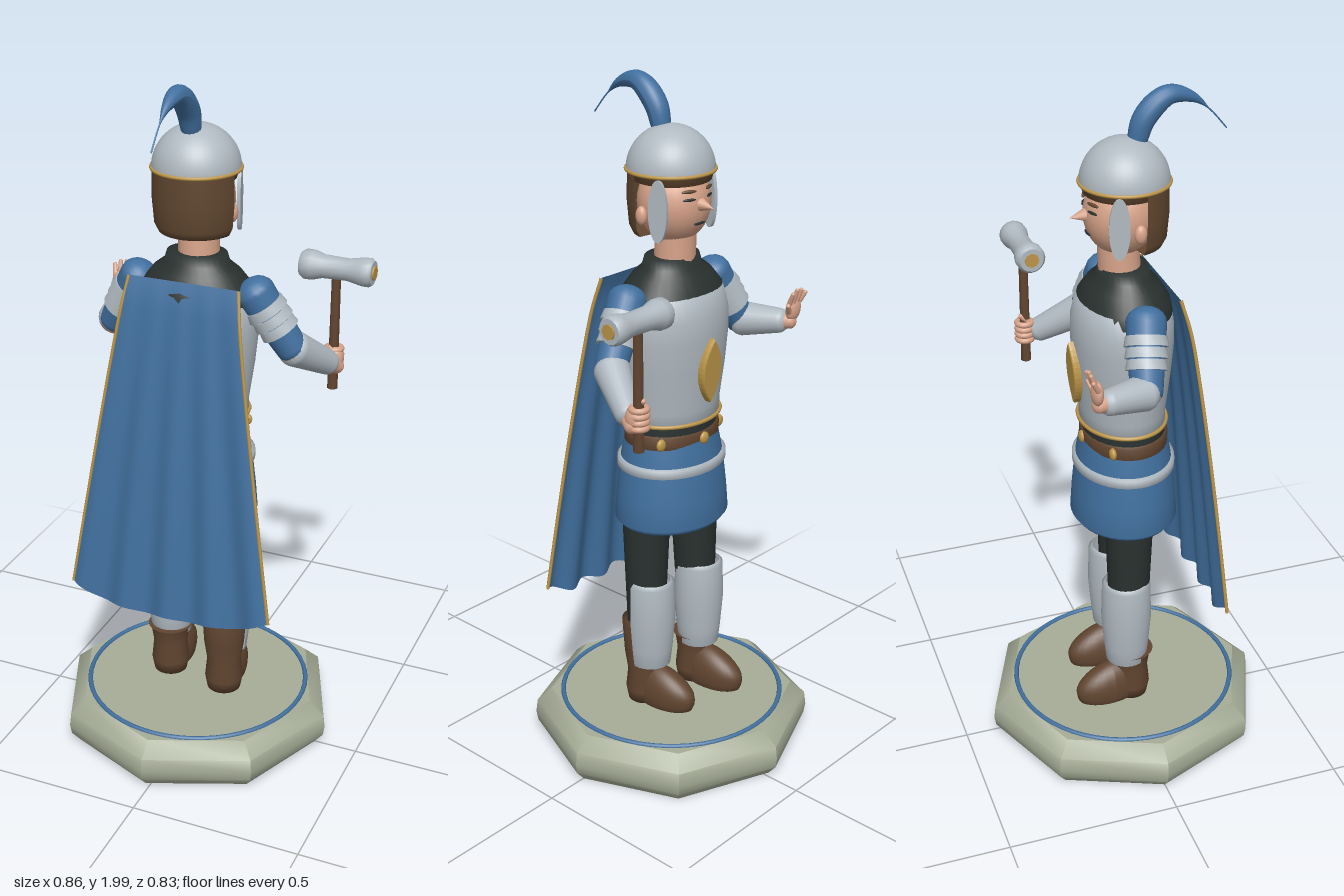
import * as THREE from 'three';
import { toCreasedNormals } from 'three/addons/utils/BufferGeometryUtils.js';

const CX = -0.015; // body axis
const V = (x, y, z) => new THREE.Vector3(x, y, z);
const mat = (name, color, side = THREE.FrontSide) => {
  const m = new THREE.MeshStandardMaterial({ color, side });
  m.name = name;
  return m;
};

export function createModel() {
  const model = new THREE.Group();
  const D = THREE.DoubleSide;
  const blue = mat('blue cloth', 0x41709f, D), steel = mat('steel', 0xb0bac1, D);
  const hairMat = mat('hair brown', 0x614730, D), leather = mat('leather', 0x614530);
  const skin = mat('skin', 0xd8a48a), gold = mat('gold', 0xbd9648);
  const dark = mat('dark cloth', 0x29312f), stone = mat('stone', 0xa6ad97);

  const add = (name, geo, material, x = 0, y = 0, z = 0, parent = model) => {
    const m = new THREE.Mesh(geo, material);
    m.name = name;
    m.position.set(x, y, z);
    parent.add(m);
    return m;
  };
  // Turned part from [radius, y] pairs, flattened in z
  const turned = (name, pts, material, x, z, sz = 1, seg = 32, start = 0, len = Math.PI * 2) => {
    const g = new THREE.LatheGeometry(pts.map(p => new THREE.Vector2(...p)), seg, start, len);
    const m = add(name, g, material, x, 0, z);
    m.scale.z = sz;
    return m;
  };
  const ball = (name, material, p, s, parent) => {
    const m = add(name, new THREE.SphereGeometry(1, 24, 16), material, ...p, parent);
    m.scale.set(...s);
    return m;
  };
  // Tapered limb between two points, with optional rounded ends
  const limb = (name, a, b, r0, r1, material, round = true, seg = 20) => {
    const dir = b.clone().sub(a), L = dir.length(), pts = [];
    const n = round ? 5 : 1;
    for (let i = 0; i <= n; i++) {
      const t = i / n * Math.PI / 2;
      pts.push(new THREE.Vector2(r0 * Math.sin(t), round ? -r0 * 0.8 * Math.cos(t) : 0));
    }
    for (let i = n; i >= 0; i--) {
      const t = i / n * Math.PI / 2;
      pts.push(new THREE.Vector2(r1 * Math.sin(t), L + (round ? r1 * 0.8 * Math.cos(t) : 0)));
    }
    const g = new THREE.LatheGeometry(pts, seg);
    const m = add(name, round ? g : toCreasedNormals(g, 0.7), material, a.x, a.y, a.z);
    m.quaternion.setFromUnitVectors(V(0, 1, 0), dir.normalize());
    return m;
  };
  const ring = (name, r, tube, material, y, z = 0, sz = 1) => {
    const g = new THREE.TorusGeometry(r, tube, 8, 56).rotateX(Math.PI / 2).scale(1, 1, sz);
    return add(name, g, material, CX, y, z);
  };

  // Octagonal plinth with inlaid ring
  const plinth = new THREE.LatheGeometry([[0, 0], [0.385, 0], [0.41, 0.03], [0.415, 0.06], [0.41, 0.1],
    [0.365, 0.14], [0, 0.14]].map(p => new THREE.Vector2(...p)), 8);
  add('plinth', toCreasedNormals(plinth, 0.7), stone, CX);
  ring('plinthRing', 0.33, 0.007, blue, 0.141);

  // Legs, boots and greaves
  for (const [x, z, toe, bootTop, full] of [[0.08, 0.015, 0.06, 0.41, false], [-0.11, -0.015, -0.12, 0.3, true]]) {
    limb('leg', V(x, 0.3, z), V(x * 0.9, 0.8, z + 0.005), 0.052, 0.072, dark);
    turned('bootShaft', [[0, 0.14], [0.05, 0.142], [0.057, 0.18], [0.051, 0.24], [0.06, 0.3],
      [0.067, bootTop], [0.045, bootTop]], leather, x, z + 0.006);
    const foot = new THREE.SphereGeometry(1, 24, 16);
    const p = foot.attributes.position;
    for (let i = 0; i < p.count; i++) {
      const front = (1 - p.getZ(i)) / 2; // lower towards the toe
      p.setY(i, p.getY(i) > 0 ? p.getY(i) * (1.25 - 0.55 * front) : Math.max(p.getY(i), -0.45));
    }
    foot.scale(0.053, 0.085, 0.108);
    foot.computeVertexNormals();
    const f = add('foot', foot, leather, (x + toe) / 2, 0.178, z - 0.06);
    f.rotation.y = x > 0 ? 0.12 : 0.1;
    const c = [[0.05, 0.27], [0.06, 0.275], [0.066, 0.33], [0.074, 0.43], [0.071, 0.54], [0.06, 0.55]];
    if (full) turned('greave', c, steel, x - 0.002, z - 0.008);
    else turned('greave', c, steel, x, z - 0.014, 1.05, 24, Math.PI - 1.7, 3.4);
  }

  // Tunic skirt, hem band, belt
  turned('skirt', [[0.06, 0.75], [0.165, 0.73], [0.178, 0.745], [0.172, 0.82], [0.16, 0.92], [0.143, 1.0]],
    blue, CX, 0, 0.85, 40);
  turned('skirtBand', [[0.158, 0.902], [0.169, 0.905], [0.169, 0.928], [0.156, 0.932]], steel, CX, 0, 0.85, 40);
  turned('waist', [[0.142, 0.98], [0.138, 1.06]], dark, CX, 0, 0.83);
  turned('belt', [[0.14, 0.98], [0.149, 0.985], [0.149, 1.018], [0.14, 1.023]], leather, CX, 0, 0.82, 40);
  for (const a of [-0.95, 0, 0.95])
    ball('beltStud', gold, [CX + Math.sin(a) * 0.15, 1.002, -Math.cos(a) * 0.122], [0.017, 0.018, 0.01]);

  // Cuirass with trim, almond emblem and collar
  turned('cuirass', [[0.13, 1.045], [0.148, 1.055], [0.148, 1.09], [0.164, 1.2], [0.174, 1.3], [0.172, 1.36],
    [0.155, 1.42], [0.1, 1.46]], steel, CX, -0.004, 0.8, 40);
  ring('cuirassTrim', 0.149, 0.006, gold, 1.055, -0.004, 0.82);
  const almond = new THREE.Shape();
  almond.moveTo(0, -0.09).quadraticCurveTo(0.07, 0, 0, 0.09).quadraticCurveTo(-0.07, 0, 0, -0.09);
  const emblem = add('emblem', new THREE.ExtrudeGeometry(almond,
    { depth: 0.014, bevelSize: 0.004, bevelThickness: 0.008, bevelSegments: 2 }), gold, CX, 1.21, -0.131);
  emblem.rotation.set(-0.07, Math.PI, 0);
  turned('collar', [[0.166, 1.39], [0.158, 1.425], [0.125, 1.465], [0.093, 1.49], [0.085, 1.515], [0.04, 1.515]],
    dark, CX, 0, 0.78);

  // Cape with folds and gold edging
  const cape = (u, v) => V(
    CX + 0.005 * (1 - v) + u * (0.16 + 0.145 * v),
    1.46 - 0.94 * v - 0.045 * v * (1 - u ** 4) + 0.006 * v * Math.cos(u * 14),
    0.108 + 0.12 * v ** 0.65 + v * (0.012 * Math.cos(u * 14) - 0.018 * u * u));
  const capeGeo = new THREE.PlaneGeometry(2, 1, 60, 24);
  const cp = capeGeo.attributes.position;
  for (let i = 0; i < cp.count; i++) {
    const q = cape(cp.getX(i), 0.5 - cp.getY(i));
    cp.setXYZ(i, q.x, q.y, q.z);
  }
  capeGeo.computeVertexNormals();
  add('cape', capeGeo, blue);
  for (const u of [-1, 1]) {
    const path = new THREE.CatmullRomCurve3([0, 0.1, 0.25, 0.5, 0.75, 1].map(v => cape(u, v)));
    add('capeEdge', new THREE.TubeGeometry(path, 40, 0.005, 6), gold);
  }

  // Neck, head and face
  limb('neck', V(CX, 1.48, -0.01), V(CX, 1.6, -0.015), 0.058, 0.056, skin, false);
  ball('head', skin, [CX, 1.665, -0.008], [0.102, 0.115, 0.1]);
  const nose = add('nose', new THREE.ConeGeometry(0.024, 0.06, 12), skin, CX, 1.668, -0.119);
  nose.rotation.x = -Math.PI / 2 - 0.1;
  for (const s of [-1, 1]) {
    ball('ear', skin, [CX + s * 0.108, 1.64, 0.012], [0.014, 0.026, 0.017]);
    ball('eye', dark, [CX + s * 0.04, 1.688, -0.098], [0.019, 0.004, 0.004]).rotation.y = s * -0.4;
    ball('eyebrow', hairMat, [CX + s * 0.04, 1.71, -0.096], [0.022, 0.005, 0.005]).rotation.y = s * -0.4;
    // Cheek guards
    const guard = add('cheekGuard', new THREE.CylinderGeometry(1, 1, 0.01, 24).rotateZ(Math.PI / 2), steel,
      CX + s * 0.105, 1.66, -0.045);
    guard.scale.set(1, 0.085, 0.028);
    guard.rotation.y = s * 0.25;
  }
  ball('mouth', dark, [CX, 1.618, -0.099], [0.022, 0.004, 0.005]);

  // Hair around the back, with a fringe under the helmet
  turned('hair', [[0.05, 1.58], [0.105, 1.578], [0.116, 1.6], [0.122, 1.67], [0.12, 1.755]], hairMat, CX, 0, 1, 28, -1.35, 2.7);
  turned('fringe', [[0.098, 1.722], [0.107, 1.725], [0.116, 1.755]], hairMat, CX, 0);

  // Helmet, rim and plume
  const dome = add('helmet', new THREE.SphereGeometry(0.121, 36, 16, 0, Math.PI * 2, 0, Math.PI / 2), steel, CX, 1.75, 0.004);
  dome.scale.y = 0.99;
  ring('helmetRim', 0.121, 0.005, gold, 1.752, 0.004);
  const plumePath = new THREE.CatmullRomCurve3([[1.85, 0.036], [1.915, 0.058], [1.968, 0.12], [1.955, 0.19],
    [1.915, 0.24], [1.862, 0.286]].map(([y, z]) => V(CX, y, z)));
  const plume = new THREE.TubeGeometry(plumePath, 36, 1, 14);
  const pp = plume.attributes.position;
  for (let i = 0; i <= 36; i++) {
    const t = i / 36, c = plumePath.getPointAt(t), r = 0.026 + 0.01 * Math.sin(t * 5) - 0.026 * t ** 1.5;
    for (let j = 0; j <= 14; j++) {
      const k = i * 15 + j, q = V().fromBufferAttribute(pp, k).sub(c).multiplyScalar(Math.max(r, 0.002)).add(c);
      pp.setXYZ(k, q.x, q.y, q.z);
    }
  }
  plume.computeVertexNormals();
  add('plume', plume, blue);

  // Arms: sleeve, banded shoulder plates, forearm guard
  const arms = [
    [V(0.158, 1.42, 0.005), V(0.255, 1.265, -0.025), V(0.318, 1.185, -0.145)],
    [V(-0.188, 1.42, 0.005), V(-0.28, 1.265, -0.025), V(-0.318, 1.275, -0.14)],
  ];
  for (const [sh, el, wr] of arms) {
    limb('sleeve', sh, el, 0.055, 0.044, blue);
    for (let i = 0; i < 3; i++) {
      const t = 0.2 + i * 0.17;
      limb('shoulderPlate', sh.clone().lerp(el, t), sh.clone().lerp(el, t + 0.15), 0.056 - i * 0.002, 0.06 - i * 0.002, steel, false);
    }
    ball('elbow', skin, el.toArray(), [0.042, 0.042, 0.042]);
    limb('forearm', el.clone().lerp(wr, 0.08), wr, 0.05, 0.036, steel);
    limb('wrist', wr, wr.clone().add(wr.clone().sub(el).multiplyScalar(0.28)), 0.026, 0.022, skin);
  }

  // Open hand, palm forward
  ball('openPalm', skin, [-0.333, 1.315, -0.178], [0.029, 0.035, 0.016]).rotation.z = 0.2;
  for (let i = 0; i < 4; i++) {
    const x = -0.355 + i * 0.015;
    limb('finger', V(x, 1.335, -0.182), V(x - 0.008 + i * 0.004, 1.362 + [0, 0.012, 0.014, 0.006][i], -0.197), 0.008, 0.006, skin, true, 10);
  }
  limb('thumb', V(-0.315, 1.305, -0.178), V(-0.294, 1.335, -0.19), 0.009, 0.007, skin, true, 10);

  // Gripping hand
  ball('fist', skin, [0.328, 1.185, -0.18], [0.026, 0.036, 0.028]);
  for (let i = 0; i < 4; i++) {
    const g = new THREE.TorusGeometry(0.021, 0.009, 8, 18).rotateX(Math.PI / 2);
    add('gripFinger', g, skin, 0.322, 1.16 + i * 0.017, -0.189);
  }
  limb('gripThumb', V(0.315, 1.21, -0.175), V(0.318, 1.235, -0.2), 0.01, 0.008, skin, true, 10);

  // War hammer
  limb('hammerHandle', V(0.322, 1.09, -0.187), V(0.322, 1.43, -0.187), 0.015, 0.013, leather, false, 12);
  const head = [[0, -0.105], [0.034, -0.105], [0.042, -0.095], [0.042, -0.07], [0.033, -0.04], [0.031, 0.03],
    [0.037, 0.06], [0.04, 0.075], [0.04, 0.095], [0.034, 0.103], [0, 0.103]];
  const hg = new THREE.LatheGeometry(head.map(p => new THREE.Vector2(...p)), 16).rotateZ(-Math.PI / 2);
  add('hammerHead', toCreasedNormals(hg, 0.8), steel, 0.325, 1.45, -0.188);
  for (const s of [-1, 1])
    add('hammerCap', new THREE.CylinderGeometry(0.021, 0.021, 0.008, 8).rotateZ(Math.PI / 2), gold, 0.325 + s * 0.104, 1.45, -0.188);

  return model;
}
